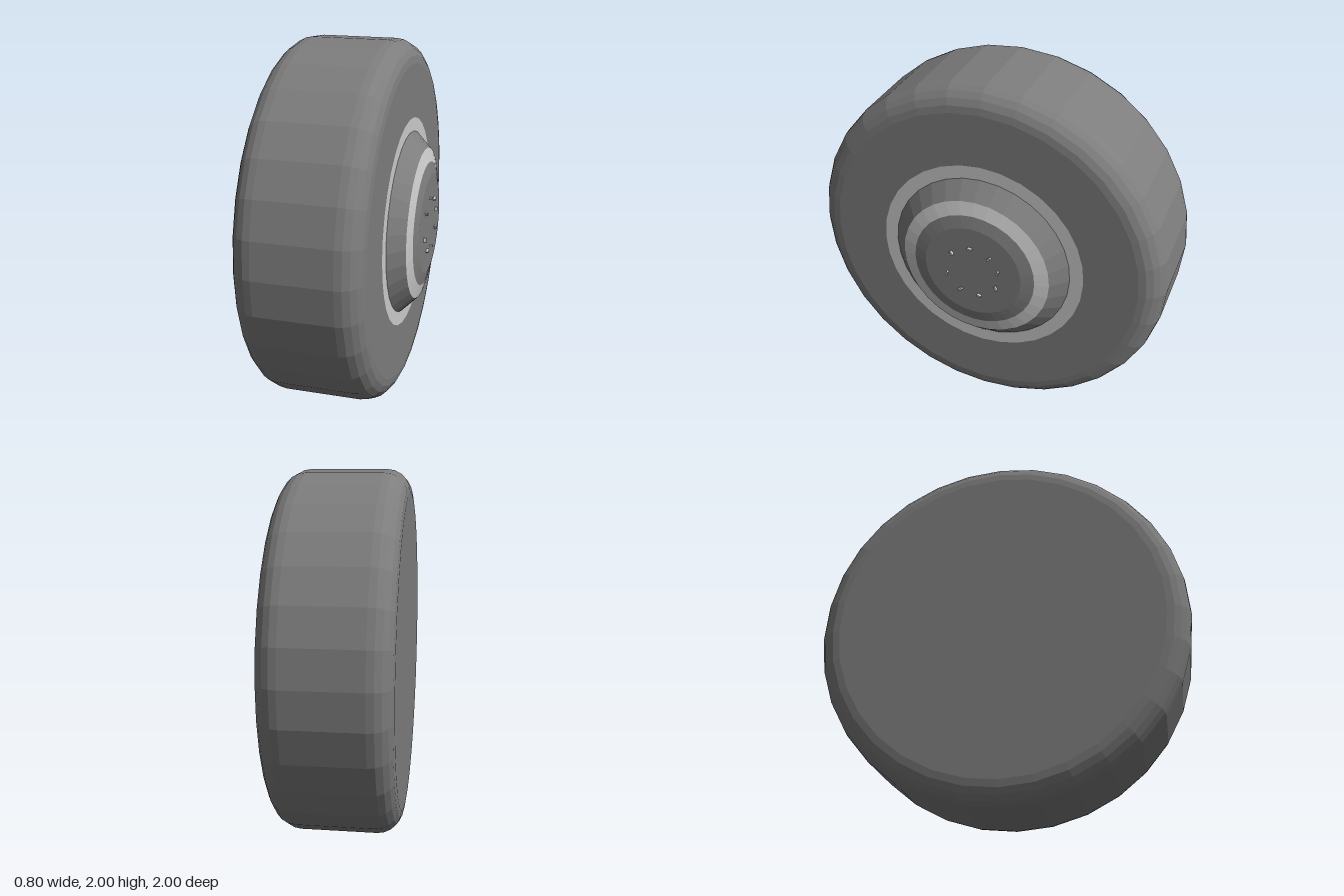
import * as THREE from 'three';

const SIDES = 32;
const dark = new THREE.MeshStandardMaterial({ color: 0x7d7d7d, flatShading: true });
const light = new THREE.MeshStandardMaterial({ color: 0xcccccc, flatShading: true });

// Revolves a profile of [radius, x] points around the wheel axle (the x axis)
function revolve(name, profile, material) {
  const points = profile.map(([r, x]) => new THREE.Vector2(r, x));
  const geometry = new THREE.LatheGeometry(points, SIDES);
  geometry.rotateZ(-Math.PI / 2);
  const mesh = new THREE.Mesh(geometry, material);
  mesh.name = name;
  return mesh;
}

// Quarter-round tyre shoulder, from angle a0 to a0 + 90 degrees
function shoulder(r, x, radius, a0, steps = 5) {
  return Array.from({ length: steps + 1 }, (_, i) => {
    const a = a0 + (i / steps) * Math.PI / 2;
    return [r + radius * Math.cos(a), x + radius * Math.sin(a)];
  });
}

export function createModel() {
  const wheel = new THREE.Group();
  wheel.name = 'wheel';

  const inner = -0.4, outer = 0.265, round = 0.125;

  // Tyre: closed flat back, rounded shoulders, flat outer wall
  wheel.add(revolve('tyre', [
    [0, inner],
    ...shoulder(1 - round, inner + round, round, -Math.PI / 2),
    ...shoulder(1 - round, outer - round, round, 0),
    [0.58, outer],
  ], dark));

  // Pale band flush with the tyre wall
  wheel.add(revolve('wallBand', [[0.58, outer], [0.505, outer]], light));

  // Hub: dark cone, pale ring, dark domed cap
  wheel.add(revolve('hubCone', [[0.505, outer], [0.42, 0.35]], dark));
  wheel.add(revolve('hubRing', [[0.42, 0.35], [0.345, 0.369]], light));
  wheel.add(revolve('hubCap', [[0.345, 0.369], [0.275, 0.385], [0, 0.385]], dark));

  // Small studs in a slightly uneven circle on the cap (degrees, seen from +x)
  const studs = new THREE.Group();
  studs.name = 'studs';
  const studGeometry = new THREE.BoxGeometry(0.02, 0.01, 0.024);
  for (const degrees of [94, 50, 14, -27, -75, -118, -163, 140]) {
    const a = THREE.MathUtils.degToRad(degrees);
    const stud = new THREE.Mesh(studGeometry, light);
    stud.name = 'stud';
    stud.position.set(0.39, 1 + 0.152 * Math.sin(a), -0.152 * Math.cos(a));
    stud.rotation.x = Math.PI / 2 - a;
    studs.add(stud);
  }
  studs.position.y = -1;
  wheel.add(studs);

  // Stand the wheel on the ground
  wheel.children.forEach((part) => { part.position.y += 1; });
  return wheel;
}
